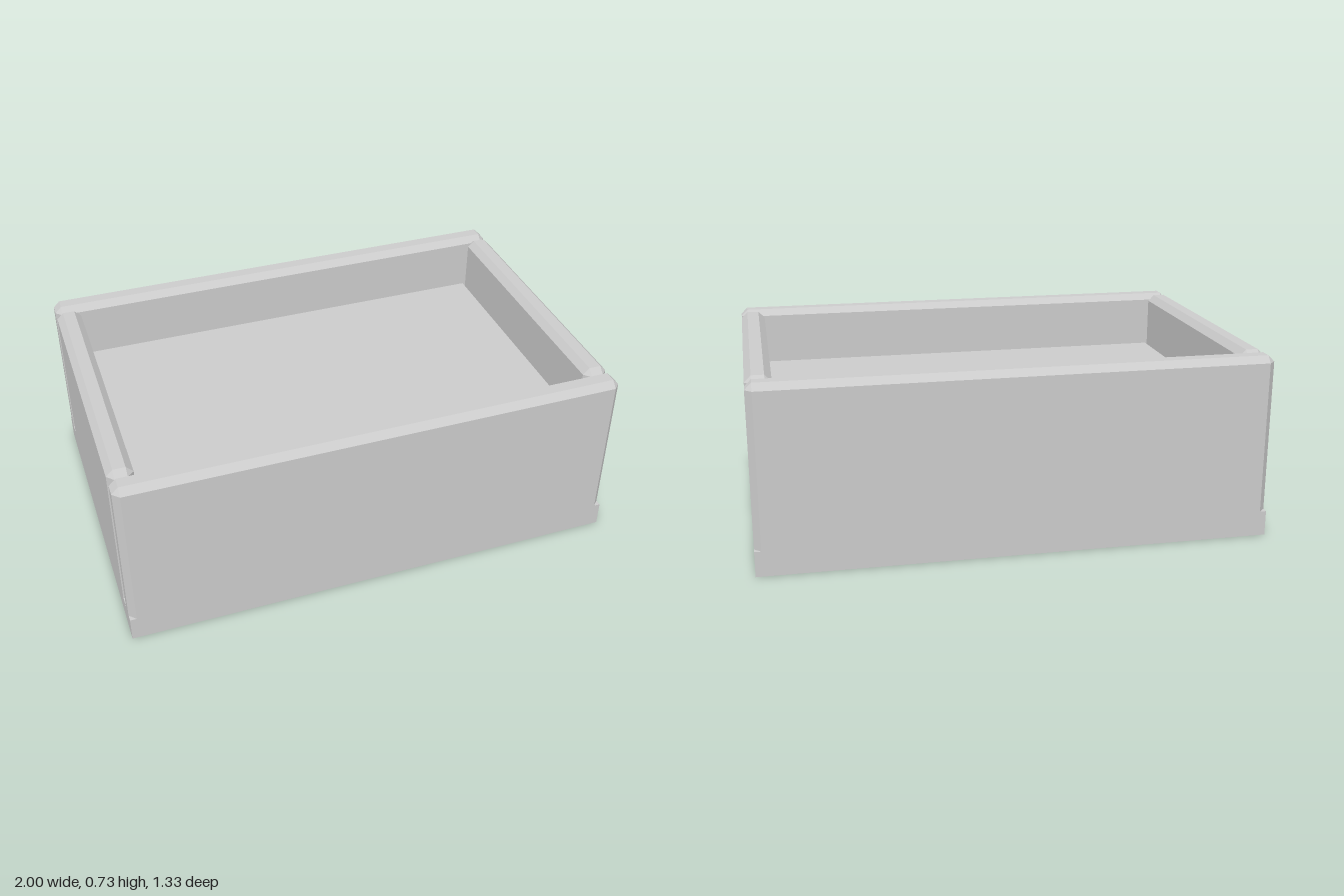
import * as THREE from 'three';
import { ConvexGeometry } from 'three/addons/geometries/ConvexGeometry.js';

const W = 1, D = 0.667;          // half width and half depth
const T = 0.1, C = 0.026;        // wall thickness and bevel
const BASE = 0.1, TOP = 0.734, FLOOR = 0.497;

// Upright panel with bevelled vertical and top edges, square at the bottom
function panelGeometry(width, depth) {
  const hx = width / 2, hz = depth / 2, points = [];
  for (const sx of [-1, 1]) {
    for (const sz of [-1, 1]) {
      for (const y of [BASE, TOP - C]) {
        points.push(new THREE.Vector3(sx * hx, y, sz * (hz - C)));
        points.push(new THREE.Vector3(sx * (hx - C), y, sz * hz));
      }
      points.push(new THREE.Vector3(sx * (hx - C), TOP, sz * (hz - C)));
    }
  }
  return new ConvexGeometry(points);
}

export function createModel() {
  const group = new THREE.Group();
  const material = new THREE.MeshStandardMaterial({ color: 0xcccccc, flatShading: true });

  const add = (name, geometry, x, y, z) => {
    const mesh = new THREE.Mesh(geometry, material);
    mesh.name = name;
    mesh.position.set(x, y, z);
    group.add(mesh);
  };

  // Square-edged plinth and the raised floor inside the walls
  add('base', new THREE.BoxGeometry(2 * W, BASE, 2 * D), 0, BASE / 2, 0);
  add('floor', new THREE.BoxGeometry(2 * (W - T), FLOOR - BASE, 2 * (D - T)), 0, (FLOOR + BASE) / 2, 0);

  // Long walls run the full width, short walls fit between them
  const longWall = panelGeometry(2 * W, T);
  const shortWall = panelGeometry(T, 2 * (D - T));
  add('frontWall', longWall, 0, 0, D - T / 2);
  add('backWall', longWall, 0, 0, -D + T / 2);
  add('leftWall', shortWall, W - T / 2, 0, 0);
  add('rightWall', shortWall, -W + T / 2, 0, 0);

  return group;
}
